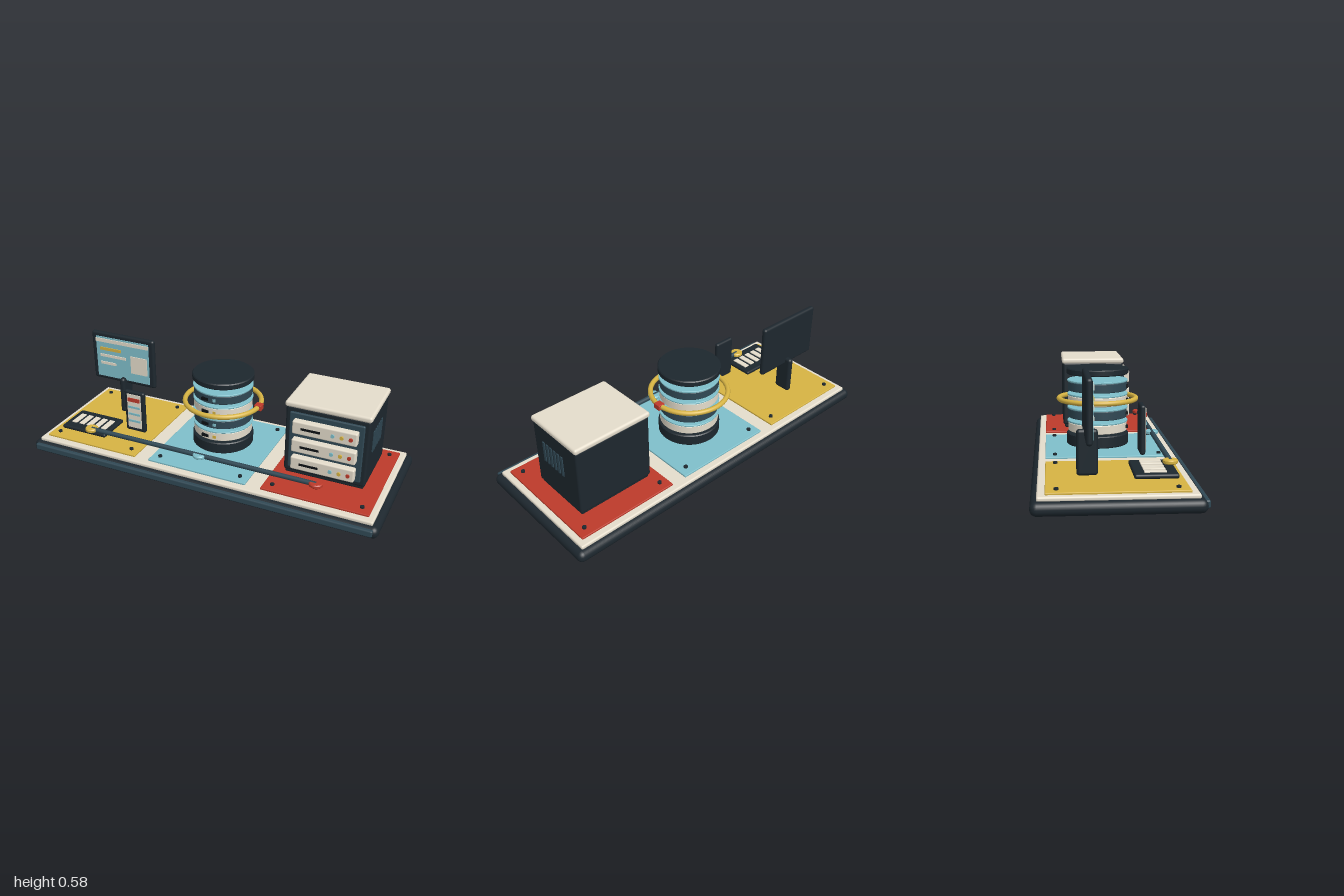
import * as THREE from 'three';
import { RoundedBoxGeometry } from 'three/addons/geometries/RoundedBoxGeometry.js';

const mat = (color) => new THREE.MeshStandardMaterial({ color });
const DARK = mat(0x1d272e), SLATE = mat(0x304854), CREAM = mat(0xe4dccb);
const YELLOW = mat(0xd6b343), BLUE = mat(0x7fbfca), RED = mat(0xbd3a2a), BLACK = mat(0x0d1114);

export function createModel() {
  const model = new THREE.Group();
  model.name = 'serviceDiorama';

  const section = (name) => {
    const g = new THREE.Group();
    g.name = name;
    model.add(g);
    return g;
  };
  const add = (parent, name, geometry, material, x = 0, y = 0, z = 0) => {
    const m = new THREE.Mesh(geometry, material);
    m.name = name;
    m.position.set(x, y, z);
    parent.add(m);
    return m;
  };
  // Box given by its limits on each axis; r > 0 rounds the edges
  const box = (parent, name, material, [x0, x1], [y0, y1], [z0, z1], r = 0) => {
    const w = x1 - x0, h = y1 - y0, d = z1 - z0;
    const geo = r ? new RoundedBoxGeometry(w, h, d, 3, r) : new THREE.BoxGeometry(w, h, d);
    return add(parent, name, geo, material, (x0 + x1) / 2, (y0 + y1) / 2, (z0 + z1) / 2);
  };
  // Upright disc with softened rims
  const disc = (parent, name, material, r, y0, y1, x, z, bevel = 0.003) => {
    const h = y1 - y0;
    const pts = [[0, 0], [r - bevel, 0], [r - bevel, 0], [r, bevel], [r, bevel],
      [r, h - bevel], [r, h - bevel], [r - bevel, h], [r - bevel, h], [0, h]];
    const geo = new THREE.LatheGeometry(pts.map((p) => new THREE.Vector2(...p)), 48);
    return add(parent, name, geo, material, x, y0, z);
  };

  // Base, inlay and front strip
  const base = section('base');
  box(base, 'basePlate', DARK, [-1, 1], [0, 0.064], [-0.391, 0.381], 0.03);
  box(base, 'baseInlay', CREAM, [-0.967, 0.967], [0.06, 0.083], [-0.362, 0.353], 0.009);
  box(base, 'frontStrip', SLATE, [-0.975, 0.975], [0.02, 0.057], [0.365, 0.391], 0.008);

  // Three coloured panels with corner screws
  [[-0.6525, YELLOW], [0, BLUE], [0.6525, RED]].forEach(([x, material]) => {
    box(base, 'panel', material, [x - 0.284, x + 0.284], [0.08, 0.093], [-0.325, 0.316], 0.004);
    for (const sx of [-1, 1]) for (const z of [-0.275, 0.265]) {
      add(base, 'screw', new THREE.CylinderGeometry(0.011, 0.011, 0.012, 16), DARK, x + sx * 0.236, 0.096, z);
    }
  });

  // Monitor with its interface blocks
  const monitor = section('monitor');
  box(monitor, 'monitorFrame', DARK, [-0.884, -0.472], [0.28, 0.578], [-0.144, -0.113], 0.014);
  box(monitor, 'monitorScreen', BLUE, [-0.853, -0.504], [0.302, 0.553], [-0.12, -0.109]);
  box(monitor, 'monitorStand', DARK, [-0.695, -0.661], [0.1, 0.318], [-0.18, -0.08], 0.015);
  const block = (name, material, xs, ys) => box(monitor, name, material, xs, ys, [-0.11, -0.104]);
  block('titleBar', CREAM, [-0.853, -0.504], [0.522, 0.543]);
  block('textLine', YELLOW, [-0.826, -0.687], [0.472, 0.489]);
  block('textLine', CREAM, [-0.826, -0.655], [0.43, 0.446]);
  block('textLine', CREAM, [-0.826, -0.725], [0.382, 0.398]);
  block('pictureTile', CREAM, [-0.623, -0.516], [0.356, 0.463]);

  // Keyboard
  const keyboard = section('keyboard');
  box(keyboard, 'keyboardBody', DARK, [-0.866, -0.583], [0.125, 0.147], [0.07, 0.272], 0.01);
  for (let i = 0; i < 5; i++) {
    const x = -0.818 + i * 0.048;
    box(keyboard, 'key', CREAM, [x - 0.016, x + 0.016], [0.143, 0.153], [0.118, 0.22], 0.003);
  }

  // Phone
  const phone = section('phone');
  box(phone, 'phoneBody', DARK, [-0.508, -0.384], [0.148, 0.394], [0.136, 0.163], 0.012);
  box(phone, 'phoneScreen', CREAM, [-0.488, -0.404], [0.172, 0.377], [0.155, 0.167]);
  box(phone, 'phoneHeader', RED, [-0.482, -0.41], [0.334, 0.356], [0.16, 0.171]);
  for (const y of [0.3, 0.258, 0.215]) {
    box(phone, 'phoneLine', BLUE, [-0.482, -0.41], [y - 0.006, y + 0.006], [0.16, 0.171]);
  }

  // Storage stack: separate drums with thin lids between foot and cap
  const stack = section('storageStack');
  const sz = -0.04;
  disc(stack, 'stackFoot', DARK, 0.168, 0.105, 0.168, 0, sz, 0.005);
  disc(stack, 'stackCap', DARK, 0.168, 0.488, 0.521, 0, sz, 0.005);
  for (let i = 0; i < 4; i++) {
    const y = 0.179 + i * 0.0735;
    disc(stack, 'drum', i % 2 ? SLATE : CREAM, 0.16, y, y + 0.047, 0, sz);
    disc(stack, 'drumLid', BLUE, 0.164, y + 0.048, y + 0.058, 0, sz, 0.002);
    box(stack, 'drumSlot', BLACK, [-0.055, -0.015], [y + 0.014, y + 0.03], [0.1, 0.122]);
    box(stack, 'drumLight', i % 2 ? BLUE : YELLOW, [0.012, 0.028], [y + 0.014, y + 0.03], [0.1, 0.122]);
  }

  // Ring around the stack and its clip
  const ring = add(stack, 'ring', new THREE.TorusGeometry(0.209, 0.0135, 16, 72), YELLOW, 0, 0.353, sz);
  ring.rotation.x = Math.PI / 2;
  box(stack, 'ringClip', RED, [0.19, 0.231], [0.337, 0.369], [sz - 0.021, sz + 0.021], 0.004);

  // Server cabinet
  const cabinet = section('cabinet');
  box(cabinet, 'cabinetPlinth', DARK, [0.435, 0.853], [0.105, 0.14], [-0.21, 0.13], 0.008);
  box(cabinet, 'cabinetBody', DARK, [0.427, 0.861], [0.122, 0.496], [-0.219, 0.137], 0.012);
  box(cabinet, 'cabinetLid', CREAM, [0.421, 0.867], [0.49, 0.522], [-0.225, 0.143], 0.013);
  box(cabinet, 'cabinetFace', SLATE, [0.452, 0.837], [0.15, 0.47], [0.125, 0.149], 0.006);

  // Drawers with slot and lights
  for (const y of [0.199, 0.301, 0.405]) {
    box(cabinet, 'drawer', CREAM, [0.478, 0.812], [y - 0.036, y + 0.036], [0.14, 0.184], 0.008);
    box(cabinet, 'drawerSlot', BLACK, [0.525, 0.625], [y - 0.006, y + 0.006], [0.175, 0.187]);
    [BLUE, YELLOW, RED].forEach((material, i) => {
      const light = add(cabinet, 'drawerLight', new THREE.CylinderGeometry(0.01, 0.01, 0.014, 16),
        material, 0.69 + i * 0.046, y, 0.184);
      light.rotation.x = Math.PI / 2;
    });
  }

  // Vent slats on the outer side
  for (let i = 0; i < 6; i++) {
    const z = 0.053 - i * 0.0297;
    box(cabinet, 'ventSlat', SLATE, [0.85, 0.866], [0.29, 0.406], [z - 0.008, z + 0.008]);
  }

  // Connecting rod with three round terminals
  const link = section('link');
  const rod = add(link, 'rod', new THREE.CylinderGeometry(0.013, 0.013, 1.32, 20), SLATE, -0.014, 0.158, 0.259);
  rod.rotation.z = Math.PI / 2;
  [[-0.674, YELLOW], [0, BLUE], [0.645, RED]].forEach(([x, material]) => {
    disc(link, 'terminal', material, 0.036, 0.148, 0.169, x, 0.259, 0.005);
  });

  return model;
}
